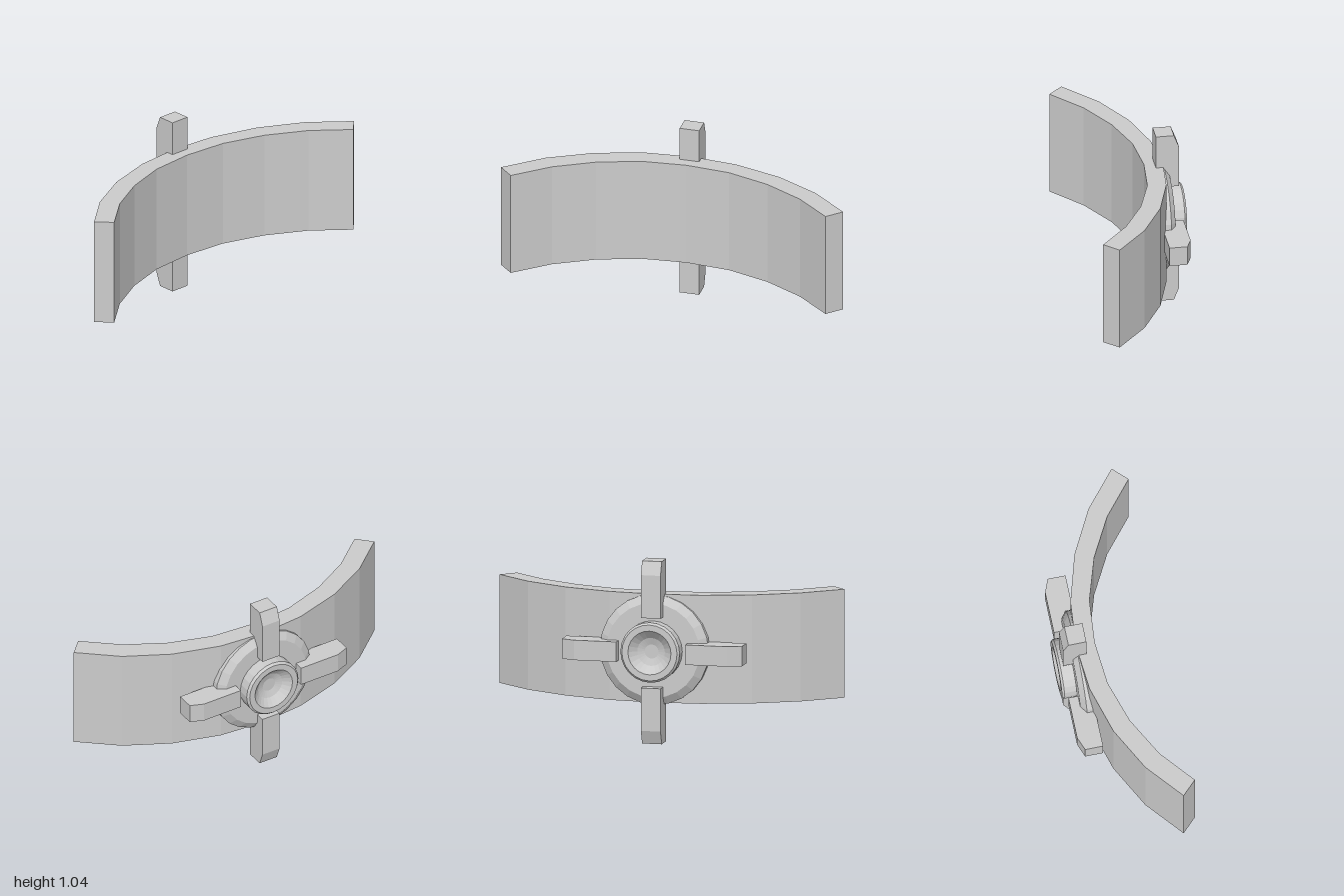
import * as THREE from 'three';

const CENTRE_Y = 0.532;

export function createModel() {
  const group = new THREE.Group();
  const material = new THREE.MeshStandardMaterial({ color: 0xcccccc, flatShading: true });
  const add = (name, geometry, parent = group) => {
    const mesh = new THREE.Mesh(geometry, material);
    mesh.name = name;
    parent.add(mesh);
    return mesh;
  };
  const v = (x, y) => new THREE.Vector2(x, y);

  // Curved band: half outlines (x, z) mirrored, extruded upward
  const outer = [[0, -0.19], [0.265, -0.167], [0.54, -0.087], [0.79, 0.045], [1, 0.222]];
  const inner = [[0, -0.082], [0.255, -0.06], [0.5, 0.018], [0.725, 0.14], [0.92, 0.303]];
  const mirror = (half) => [...half.slice(1).reverse().map(([x, z]) => [-x, z]), ...half];
  const outline = [...mirror(outer), ...mirror(inner).reverse()];
  const bandShape = new THREE.Shape(outline.map(([x, z]) => v(x, -z)));
  const band = new THREE.ExtrudeGeometry(bandShape, { depth: 0.62, bevelEnabled: false });
  band.rotateX(-Math.PI / 2).translate(0, 0.23, 0);
  add('curvedBand', band);

  // Round parts: profile of [radius, distance behind the origin], turned to face the back
  const turned = (name, profile) => {
    const geometry = new THREE.LatheGeometry(profile.map(([r, d]) => v(r, d)), 24);
    geometry.rotateX(-Math.PI / 2).translate(0, CENTRE_Y, 0);
    add(name, geometry);
  };
  turned('backPlate', [[0, 0.14], [0.315, 0.14], [0.315, 0.19], [0.27, 0.22], [0, 0.22]]);
  turned('dishedKnob', [
    [0, 0.21], [0.17, 0.21], [0.172, 0.29], [0.16, 0.303], [0.125, 0.303],
    [0.11, 0.29], [0.08, 0.265], [0.04, 0.252], [0, 0.252],
  ]);

  // Four arms with a sloped outer corner, arranged as a cross
  const armShape = new THREE.Shape([
    v(0.2, 0.142), v(0.522, 0.142), v(0.522, 0.245), v(0.445, 0.275), v(0.2, 0.275),
  ]);
  const arm = new THREE.ExtrudeGeometry(armShape, { depth: 0.114, bevelEnabled: false });
  arm.translate(0, 0, -0.057).rotateX(-Math.PI / 2);
  ['leftArm', 'topArm', 'rightArm', 'bottomArm'].forEach((name, i) => {
    const mesh = add(name, arm);
    mesh.position.y = 0.525;
    mesh.rotation.z = i * Math.PI / 2;
  });

  return group;
}
